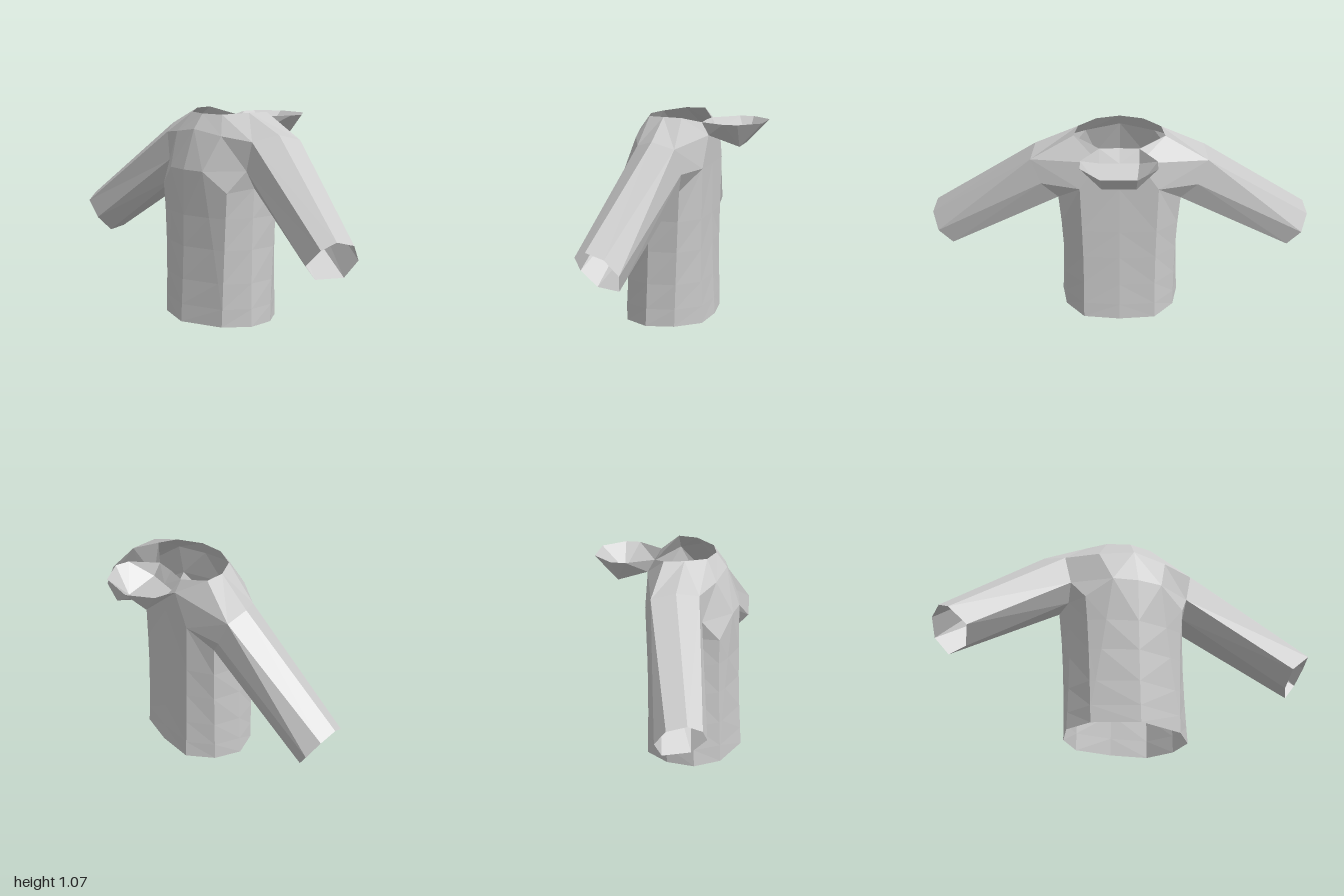
import * as THREE from 'three';

const material = new THREE.MeshStandardMaterial({ color: 0xcccccc, flatShading: true, side: THREE.DoubleSide });

// Builds a mesh from polygons on the +x half; mirrors them to -x when asked.
function surface(name, polygons, mirror = true) {
  const pos = [];
  const emit = (a, b, c) => {
    const [u, v, w] = [a, b, c].map((p) => new THREE.Vector3(...p));
    if (v.sub(u).cross(w.sub(u)).length() < 1e-7) return;
    pos.push(...a, ...b, ...c);
  };
  const flip = (p) => [-p[0], p[1], p[2]];
  for (const poly of polygons) {
    for (let i = 1; i < poly.length - 1; i++) {
      const [a, b, c] = [poly[0], poly[i], poly[i + 1]];
      emit(a, b, c);
      if (mirror) emit(flip(a), flip(c), flip(b));
    }
  }
  const geometry = new THREE.BufferGeometry();
  geometry.setAttribute('position', new THREE.Float32BufferAttribute(pos, 3));
  geometry.computeVertexNormals();
  const mesh = new THREE.Mesh(geometry, material);
  mesh.name = name;
  return mesh;
}

// Joins neighbouring cross-sections (each a list of points) with quads.
function loft(rows, closed = false) {
  const quads = [];
  for (let r = 0; r < rows.length - 1; r++) {
    const n = rows[r].length;
    for (let i = 0; i < (closed ? n : n - 1); i++) {
      const j = (i + 1) % n;
      quads.push([rows[r][i], rows[r][j], rows[r + 1][j], rows[r + 1][i]]);
    }
  }
  return quads;
}

// Neckline, front centre round to back centre
const neck = [
  [0, 1.055, 0.23], [0.12, 1.055, 0.2], [0.21, 1.065, 0.1],
  [0.23, 1.065, 0], [0.1, 1.03, -0.07], [0, 1.03, -0.065],
];
// Armhole loop, starting at the shoulder ridge and going over the back
const armhole = [
  [0.43, 0.97, 0.095], [0.45, 0.94, -0.025], [0.4, 0.81, -0.045], [0.315, 0.71, -0.01],
  [0.31, 0.7, 0.15], [0.315, 0.79, 0.205], [0.345, 0.935, 0.195],
];
const cuff = [
  [0.985, 0.54, 0.24], [1, 0.515, 0.145], [0.97, 0.435, 0.085], [0.9, 0.345, 0.108],
  [0.84, 0.343, 0.235], [0.855, 0.42, 0.312], [0.95, 0.505, 0.305],
];
// Upper chest, bust and upper back points
const chest = [[0, 0.98, 0.285], [0.18, 0.955, 0.255]];
const bust = [[0, 0.78, 0.352], [0.13, 0.78, 0.335], [0.26, 0.68, 0.285]];
const nape = [[0.1, 0.965, -0.105], [0, 0.965, -0.105]];
const back = [[0.2, 0.81, -0.1], [0, 0.81, -0.1]];

function buildBody() {
  const [ridge, rearTop, rear, pitBack, pitFront, front, frontTop] = armhole;
  // Columns of the trunk: hem points and the points they rise to
  const hem = [
    [0, 0, 0.375], [0.23, 0, 0.295], [0.23, 0, 0.295], [0.315, 0, 0.17],
    [0.29, 0, 0.025], [0.19, 0, -0.095], [0, 0, -0.115],
  ];
  const top = [...bust, pitFront, pitBack, ...back];
  const rows = [0, 0.09, 0.22, 0.39, 0.55].map((y) => hem.map((h, i) => {
    const t = i === 1 ? Math.max(0, (y - 0.09) / (top[i][1] - 0.09)) : y / top[i][1];
    const waist = 1 - 0.03 * Math.sin(Math.PI * Math.min(1, y / 0.75));
    const x = h[0] + (top[i][0] - h[0]) * t;
    const z = h[2] + (top[i][2] - h[2]) * t;
    return [x * waist, y, 0.13 + (z - 0.13) * waist];
  }));
  rows.push(top);

  // Yoke around neck, shoulders and armholes
  const yoke = [
    [neck[0], chest[0], chest[1], neck[1]],
    [neck[1], chest[1], frontTop, neck[2]],
    [neck[2], frontTop, ridge],
    [neck[2], ridge, rearTop, neck[3]],
    [neck[3], rearTop, nape[0], neck[4]],
    [neck[4], nape[0], nape[1], neck[5]],
    [chest[0], bust[0], bust[1], chest[1]],
    [chest[1], bust[1], front, frontTop],
    [bust[1], bust[2], front],
    [bust[2], pitFront, front],
    [rearTop, rear, back[0], nape[0]],
    [rear, pitBack, back[0]],
    [nape[0], back[0], back[1], nape[1]],
  ];
  return surface('body', [...loft(rows), ...yoke]);
}

// Hood lying open behind the neck, a shallow bowl with a flat rim
function buildHood() {
  const y = 1.033;
  const rim = [neck[4], [0.19, y, -0.2], [0.19, y, -0.275], [0.09, y, -0.38], [0, y, -0.38]];
  const low = [0.085, 0.91, -0.262];
  const lowMid = [0, 0.91, -0.262];
  return surface('hood', [
    [rim[0], nape[0], rim[1]],
    [nape[0], low, rim[1]],
    [rim[1], low, rim[2]],
    [rim[2], low, rim[3]],
    [rim[3], low, lowMid, rim[4]],
    [nape[1], lowMid, low],
    [nape[1], low, nape[0]],
  ]);
}

export function createModel() {
  const group = new THREE.Group();
  group.name = 'hoodedTop';
  group.add(buildBody(), buildHood());

  // Sleeves, open at the cuffs
  for (const [name, side] of [['leftSleeve', 1], ['rightSleeve', -1]]) {
    const place = (loop) => loop.map(([x, y, z]) => [side * x, y, z]);
    const rows = [place(armhole), place(cuff)];
    const quads = loft(rows, true).map((q) => (side > 0 ? [q[0], q[3], q[2], q[1]] : q));
    group.add(surface(name, quads, false));
  }
  return group;
}
